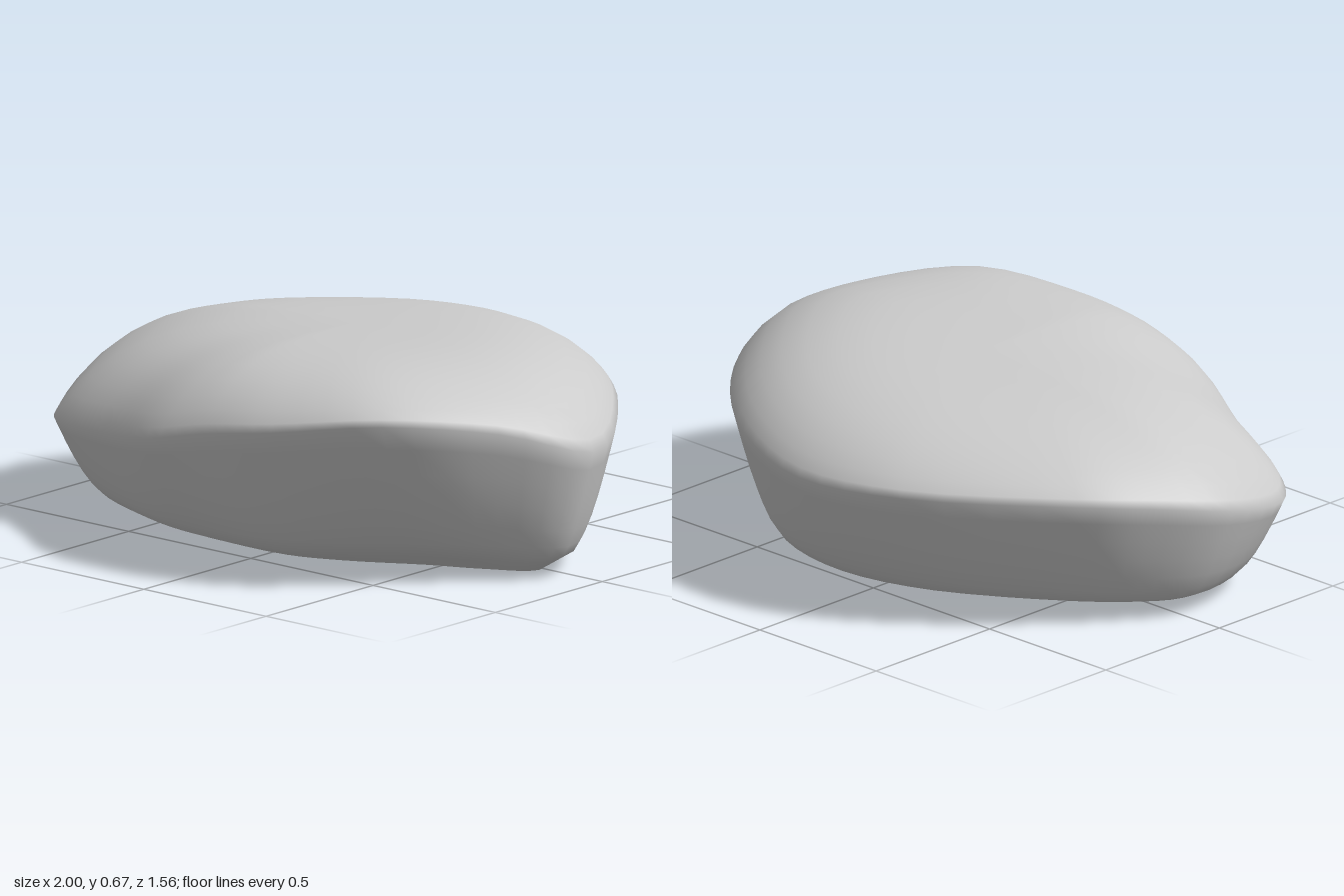
import * as THREE from 'three';

// Widest outline [x, y, z] and the matching foot outline [x, z], from +x round through +z
const RIM = [
  [1, 0.42, 0.04], [0.87, 0.51, 0.33], [0.64, 0.55, 0.62], [0.3, 0.5, 0.75],
  [0.05, 0.46, 0.775], [-0.2, 0.4, 0.76], [-0.5, 0.34, 0.62], [-0.8, 0.3, 0.485],
  [-0.905, 0.29, 0.38], [-1, 0.37, 0.06], [-0.9, 0.42, -0.2], [-0.77, 0.44, -0.38],
  [-0.32, 0.44, -0.71], [0.05, 0.43, -0.78], [0.4, 0.45, -0.66], [0.75, 0.45, -0.36],
];
const FOOT = [
  [0.85, 0.05], [0.71, 0.17], [0.54, 0.27], [0.32, 0.43],
  [0.14, 0.52], [-0.2, 0.53], [-0.45, 0.47], [-0.68, 0.36],
  [-0.79, 0.25], [-0.83, 0.02], [-0.73, -0.13], [-0.59, -0.25],
  [-0.26, -0.46], [0.05, -0.54], [0.34, -0.49], [0.62, -0.27],
];
const SEGMENTS = 64;

const loop = (points) => new THREE.CatmullRomCurve3(points, true, 'centripetal');

function createRockGeometry() {
  const rim = loop(RIM.map((p) => new THREE.Vector3(...p)));
  const foot = loop(FOOT.map(([x, z]) => new THREE.Vector3(x, 0.05, z)));
  // Top surface, sinking toward the front left corner
  const topY = (x, z) =>
    0.655 + 0.045 * x + 0.03 * z - 0.2 * Math.max(0, -x) * Math.max(0, z);

  // Each ring is a rule giving the point beside rim point r and foot point f
  const rings = [];
  // Domed top
  for (const s of [0.12, 0.3, 0.45, 0.58, 0.7, 0.8, 0.88, 0.94, 0.98]) {
    const rise = Math.pow(1 - s ** 4, 0.8);
    rings.push((r) => {
      const x = r.x * s, z = r.z * s;
      return [x, THREE.MathUtils.lerp(r.y, topY(x, z), rise), z];
    });
  }
  // Flank, curving in toward the foot
  for (const t of [0, 0.1, 0.22, 0.35, 0.5, 0.65, 0.8, 1]) {
    const drop = Math.sin((t * Math.PI) / 2);
    rings.push((r, f) => [
      THREE.MathUtils.lerp(r.x, f.x, t),
      THREE.MathUtils.lerp(r.y, f.y, drop),
      THREE.MathUtils.lerp(r.z, f.z, t),
    ]);
  }
  // Slightly tilted and hollowed underside
  for (const [s, lift] of [[0.92, 0.01], [0.8, 0], [0.5, 0], [0.2, 0]]) {
    rings.push((r, f) => {
      const x = f.x * s, z = f.z * s;
      return [x, 0.011 - 0.015 * x + 0.05 * z * z + lift, z];
    });
  }

  const positions = [];
  for (const ring of rings) {
    for (let i = 0; i < SEGMENTS; i++) {
      const u = i / SEGMENTS;
      positions.push(...ring(rim.getPoint(u), foot.getPoint(u)));
    }
  }
  const top = positions.length / 3;
  positions.push(0, topY(0, 0), 0, 0, 0.011, 0);

  // Skin between the rings, then close both ends
  const index = [];
  const last = (rings.length - 1) * SEGMENTS;
  for (let i = 0; i < SEGMENTS; i++) {
    const j = (i + 1) % SEGMENTS;
    index.push(top, j, i, top + 1, last + i, last + j);
    for (let k = 0; k < last; k += SEGMENTS) {
      const a = k + i, b = k + j, c = a + SEGMENTS, d = b + SEGMENTS;
      index.push(a, b, c, b, d, c);
    }
  }
  const geometry = new THREE.BufferGeometry();
  geometry.setAttribute('position', new THREE.Float32BufferAttribute(positions, 3));
  geometry.setIndex(index);
  geometry.computeVertexNormals();
  return geometry;
}

export function createModel() {
  const group = new THREE.Group();
  group.name = 'boulder';
  const material = new THREE.MeshStandardMaterial({ color: 0xcccccc });
  const rock = new THREE.Mesh(createRockGeometry(), material);
  rock.name = 'rock';
  group.add(rock);
  return group;
}
